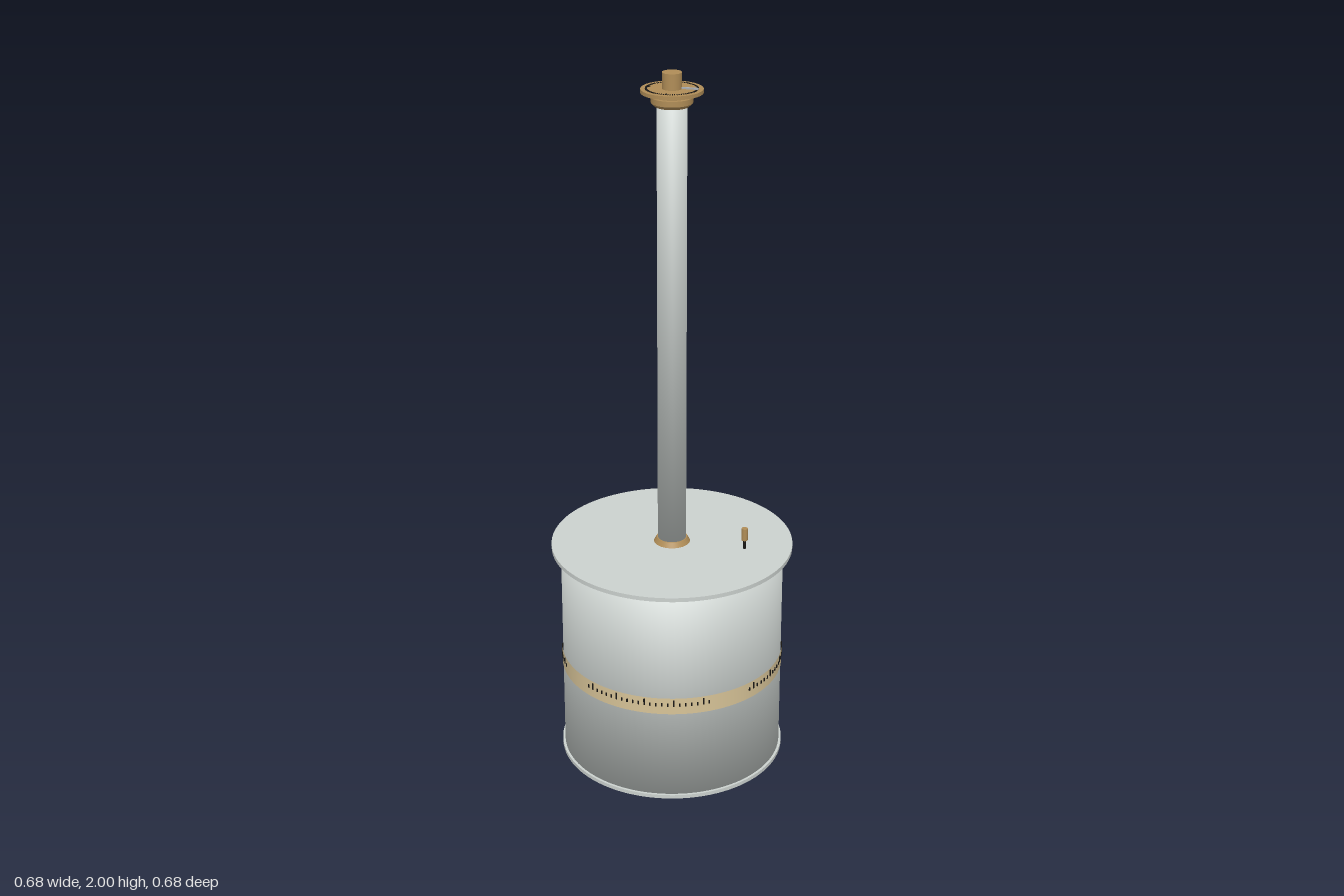
import * as THREE from 'three';

const mat = (name, color) => {
  const m = new THREE.MeshStandardMaterial({ color });
  m.name = name;
  return m;
};

export function createModel() {
  const model = new THREE.Group();
  const glass = mat('glass', 0xccd2cf);
  const brass = mat('brass', 0xb08d57);
  const paper = mat('paper', 0xd8c498);
  const black = mat('black', 0x191715);
  const steel = mat('steel', 0xa9adb2);

  const add = (name, geometry, material, x = 0, y = 0, z = 0, parent = model) => {
    const mesh = new THREE.Mesh(geometry, material);
    mesh.name = name;
    mesh.position.set(x, y, z);
    parent.add(mesh);
    return mesh;
  };

  // Solid disc or rod between two heights
  const disc = (name, material, r, y0, y1, x = 0, rBottom = r, sides = 64) =>
    add(name, new THREE.CylinderGeometry(r, rBottom, y1 - y0, sides), material, x, (y0 + y1) / 2);

  // Hollow closed ring from a rectangular section
  const ring = (outer, inner, y0, y1) => new THREE.LatheGeometry([
    [outer, y0], [outer, y1], [inner, y1], [inner, y0], [outer, y0],
  ].map(([x, y]) => new THREE.Vector2(x, y)), 96);

  // Open glass pipe whose normals blend softly around both rims
  const pipe = (outer, inner, y0, y1) => {
    const geometry = ring(outer, inner, y0, y1);
    const p = geometry.attributes.position;
    const n = geometry.attributes.normal;
    const v = new THREE.Vector3();
    for (let i = 0; i < p.count; i++) {
      const r = Math.hypot(p.getX(i), p.getZ(i));
      const side = (r > (outer + inner) / 2 ? 1 : -1) / r;
      v.set(p.getX(i) * side, p.getY(i) > (y0 + y1) / 2 ? 1 : -1, p.getZ(i) * side).normalize();
      n.setXYZ(i, v.x, v.y, v.z);
    }
    return geometry;
  };

  // Glass jar, open at the bottom, with foot rim and lid
  add('jar', pipe(0.315, 0.308, 0.004, 0.642), glass);
  add('footRim', ring(0.322, 0.31, 0, 0.011).toNonIndexed(), glass).geometry.computeVertexNormals();
  disc('lid', glass, 0.341, 0.641, 0.653, 0, 0.341, 96);

  // Paper scale around the jar
  add('scaleBand', new THREE.CylinderGeometry(0.3175, 0.3175, 0.05, 96, 1, true), paper, 0, 0.3, 0);
  const bandTicks = new THREE.Group();
  bandTicks.name = 'scaleTicks';
  model.add(bandTicks);
  for (let i = 0; i < 120; i++) {
    const fromDiagonal = Math.abs(((i * 3) % 90) - 45);
    if (fromDiagonal < 10) continue;
    const h = i % 5 === 0 ? 0.02 : 0.01;
    const a = THREE.MathUtils.degToRad(i * 3);
    add('scaleTick', new THREE.BoxGeometry(0.004, h, 0.003), black,
      Math.sin(a) * 0.318, 0.3 + h / 2, Math.cos(a) * 0.318, bandTicks).rotation.y = a;
  }

  // Tall glass tube with brass collars
  add('tube', pipe(0.04, 0.035, 0.653, 1.915), glass);
  disc('tubeBaseCollar', brass, 0.043, 0.653, 0.667, 0, 0.051);
  disc('topCollarTaper', brass, 0.055, 1.912, 1.921, 0, 0.046);
  disc('topCollar', brass, 0.055, 1.921, 1.936);
  disc('topCollarNeck', brass, 0.045, 1.936, 1.948);

  // Torsion dial with knob, pointer and graduations
  disc('dial', brass, 0.082, 1.947, 1.957);
  disc('knob', brass, 0.026, 1.957, 2, 0, 0.026, 32);
  add('pointer', new THREE.BoxGeometry(0.046, 0.004, 0.007), steel, 0.047, 1.96, 0);
  const dialTicks = new THREE.Group();
  dialTicks.name = 'dialTicks';
  model.add(dialTicks);
  for (let i = 0; i < 72; i++) {
    const length = i % 18 === 0 ? 0.012 : 0.006;
    const a = (i / 72) * Math.PI * 2;
    const r = 0.07 - length / 2;
    add('dialTick', new THREE.BoxGeometry(length, 0.002, i % 18 === 0 ? 0.003 : 0.002), black,
      Math.cos(a) * r, 1.9575, -Math.sin(a) * r, dialTicks).rotation.y = a;
  }

  // Fixed charge: handle, insulated rod through the lid, and ball
  disc('rodHandle', brass, 0.009, 0.68, 0.716, 0.21, 0.009, 20);
  disc('insulatingRod', black, 0.004, 0.32, 0.682, 0.21, 0.004, 12);
  add('fixedBall', new THREE.SphereGeometry(0.022, 24, 16), brass, 0.21, 0.305, 0);

  // Hanging fibre with the balance needle
  disc('fibre', steel, 0.0015, 0.305, 1.93, 0, 0.0015, 8);
  add('needle', new THREE.CylinderGeometry(0.003, 0.003, 0.4, 10), black, 0, 0.305, 0).rotation.x = Math.PI / 2;
  add('needleBall', new THREE.SphereGeometry(0.02, 24, 16), brass, 0, 0.305, 0.2);

  return model;
}
